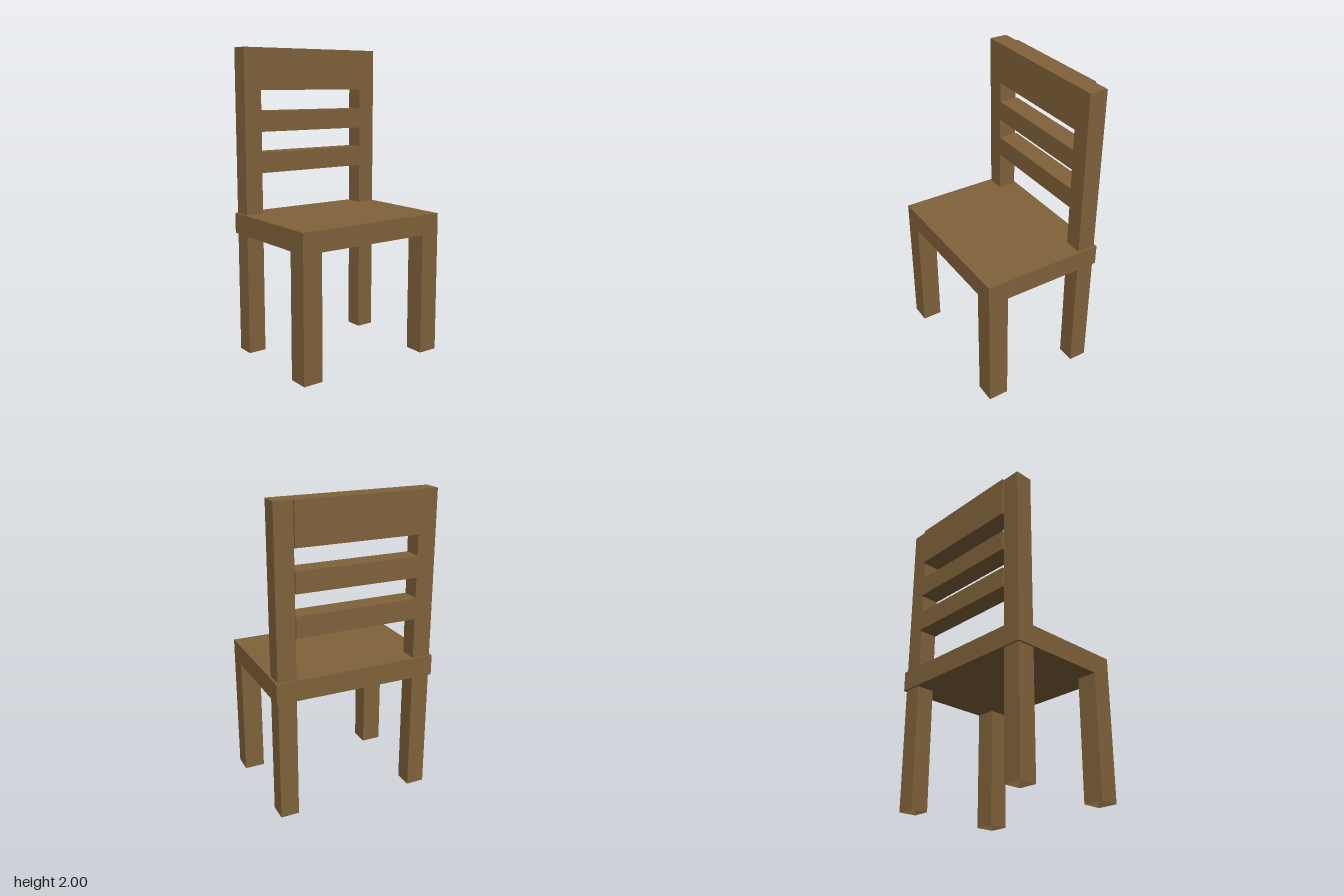
import * as THREE from 'three';

export function createModel() {
  const group = new THREE.Group();
  const wood = new THREE.MeshStandardMaterial({ color: 0x80623b, side: THREE.DoubleSide });
  wood.name = 'brown wood';

  // Box given by its minimum and maximum corners; skip lists sides to leave open
  // (0 +x, 1 -x, 2 +y, 3 -y, 4 +z, 5 -z)
  function addBox(name, [x0, y0, z0], [x1, y1, z1], skip = []) {
    const geometry = new THREE.BoxGeometry(x1 - x0, y1 - y0, z1 - z0);
    const index = Array.from(geometry.index.array);
    geometry.setIndex(index.filter((_, i) => !skip.includes(Math.floor(i / 6))));
    geometry.clearGroups();
    const mesh = new THREE.Mesh(geometry, wood);
    mesh.name = name;
    mesh.position.set((x0 + x1) / 2, (y0 + y1) / 2, (z0 + z1) / 2);
    group.add(mesh);
  }

  const seatBottom = 0.8, seatTop = 0.933;
  const inner = 0.4, backFront = -0.267, postBack = -0.387;

  // Seat slab
  addBox('seat', [-0.533, seatBottom, -0.4], [0.533, seatTop, 0.4]);

  // Hollow legs, open at the floor, and the back posts above the rear pair
  for (const [side, s] of [['left', 1], ['right', -1]]) {
    const span = (outer) => (s > 0 ? [inner, outer] : [-outer, -inner]);
    const [f0, f1] = span(0.533);
    const [b0, b1] = span(0.52);
    addBox(side + 'FrontLeg', [f0, 0, 0.267], [f1, seatBottom, 0.4], [2, 3]);
    addBox(side + 'BackLeg', [b0, 0, postBack], [b1, seatBottom, backFront], [2, 3]);
    addBox(side + 'BackPost', [b0, seatTop, postBack], [b1, 2, backFront], [3]);
  }

  // Rails across the back, flush with the posts in front and proud of them behind
  const rails = [['lowerSlat', 1.2, 1.333], ['upperSlat', 1.467, 1.6], ['topRail', 1.733, 2]];
  for (const [name, y0, y1] of rails) {
    addBox(name, [-inner, y0, -0.4], [inner, y1, backFront]);
  }

  return group;
}
